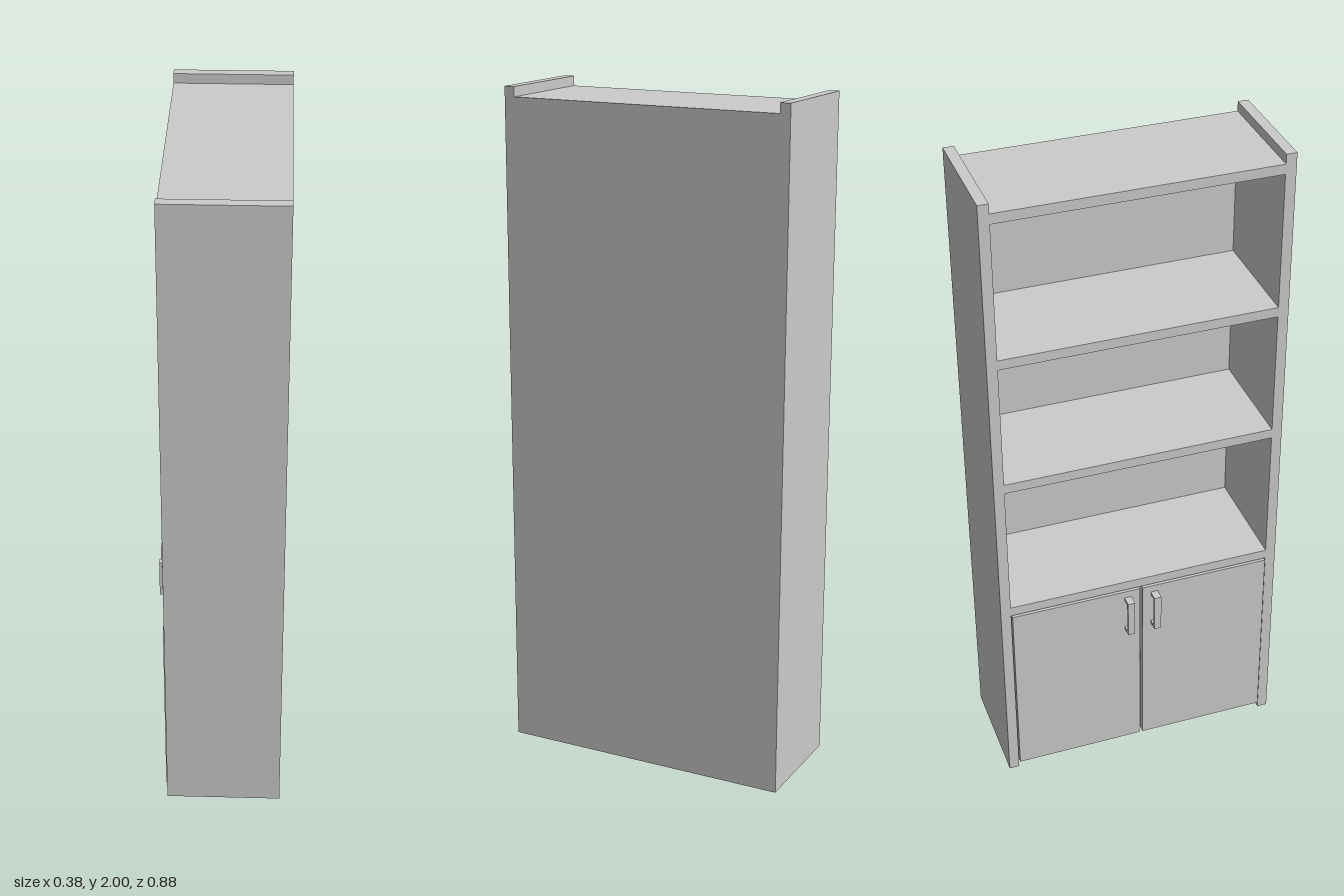
import * as THREE from 'three';

const material = new THREE.MeshStandardMaterial({ color: 0xcccccc, side: THREE.DoubleSide });

// Box given by its min and max on each axis
function box(parent, name, [x0, x1], [y0, y1], [z0, z1]) {
  const mesh = new THREE.Mesh(new THREE.BoxGeometry(x1 - x0, y1 - y0, z1 - z0), material);
  mesh.position.set((x0 + x1) / 2, (y0 + y1) / 2, (z0 + z1) / 2);
  mesh.name = name;
  parent.add(mesh);
}

// Span between two distances from the middle, on the given side of z = 0
const span = (side, near, far) => (side > 0 ? [near, far] : [-far, -near]);

export function createModel() {
  const model = new THREE.Group();
  model.name = 'bookcase';

  // Whole case leans very slightly toward -z
  const cabinet = new THREE.Group();
  cabinet.name = 'cabinet';
  cabinet.rotation.x = -0.005;
  cabinet.position.set(0, 0.0022, -0.005);
  cabinet.position.z = 0.005;
  model.add(cabinet);

  const front = -0.152, back = 0.19, inner = 0.406, outer = 0.437, height = 1.9956;
  const backFace = back - 0.003;

  // Thin back panel, reaching up to the top board
  box(cabinet, 'backPanel', [backFace, back], [0, 1.967], [-inner, inner]);

  // Top board and shelves, by the height of their upper face
  for (const [name, y] of [['topBoard', 1.967], ['upperShelf', 1.525], ['middleShelf', 1.11], ['lowerShelf', 0.657]])
    box(cabinet, name, [front, backFace], [y - 0.03, y], [-inner, inner]);

  for (const side of [1, -1]) {
    const label = side > 0 ? 'left' : 'right';
    box(cabinet, label + 'SidePanel', [front, back], [0, height], span(side, inner, outer));

    // Cupboard door
    box(cabinet, label + 'Door', [-0.157, -0.135], [0.023, 0.623], span(side, 0.005, 0.403));

    // Square-section pull handle
    const handle = new THREE.Group();
    handle.name = label + 'Handle';
    const width = span(side, 0.031, 0.053);
    box(handle, 'grip', [-0.19, -0.181], [0.478, 0.6], width);
    box(handle, 'lowerPost', [-0.181, -0.157], [0.478, 0.487], width);
    box(handle, 'upperPost', [-0.181, -0.157], [0.591, 0.6], width);
    cabinet.add(handle);
  }
  return model;
}
